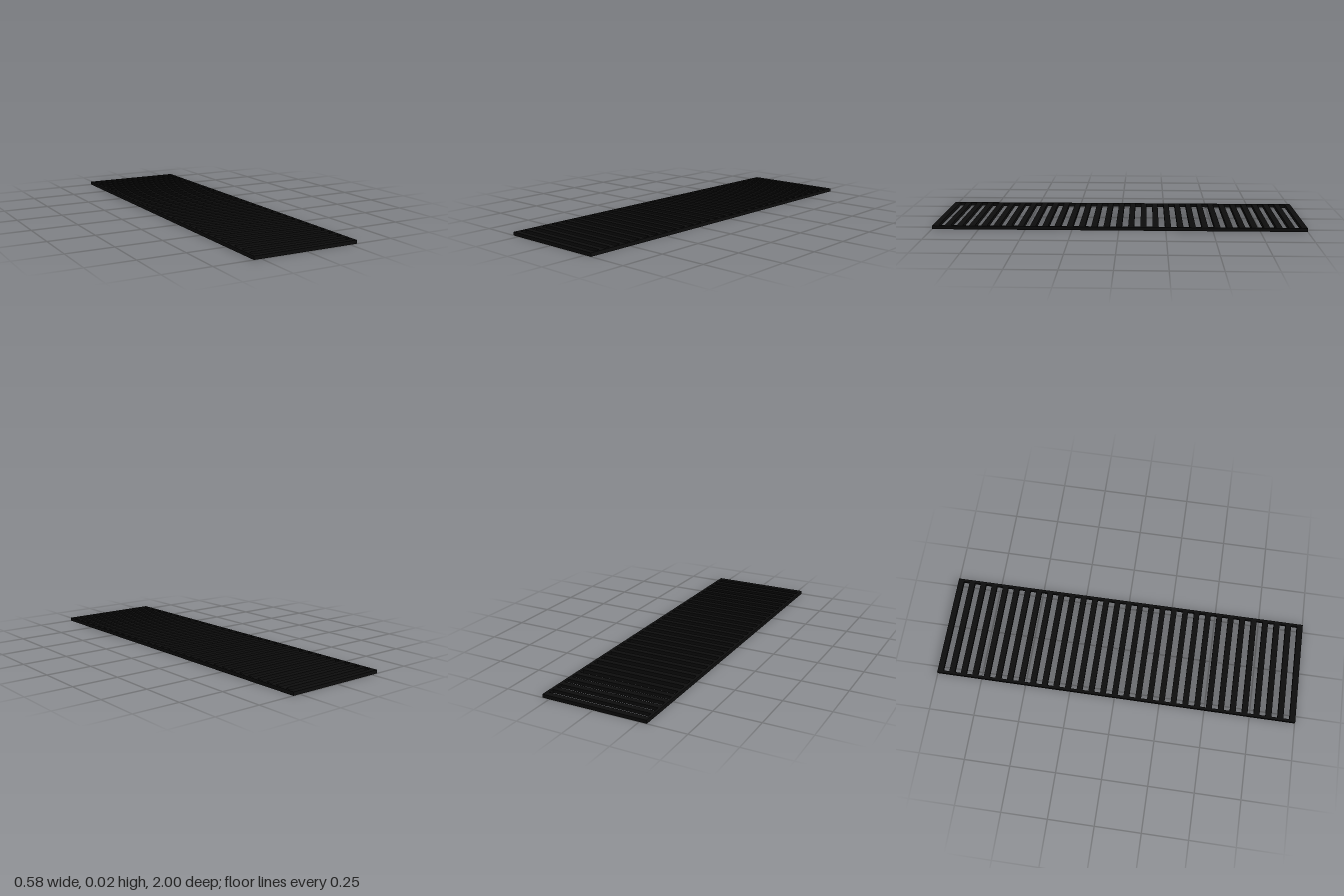
import * as THREE from 'three';

const WIDTH = 0.58, LENGTH = 2, HEIGHT = 0.0185;
const BARS = 31, BAR = 0.032, RAIL = 0.015;

// Counter-clockwise rectangle corners
function rect(x0, y0, x1, y1) {
  return [[x0, y0], [x1, y0], [x1, y1], [x0, y1]].map(([x, y]) => new THREE.Vector2(x, y));
}

export function createModel() {
  const group = new THREE.Group();
  group.name = 'slottedGrate';

  // Flat plate outline with evenly spaced cross slots
  const shape = new THREE.Shape(rect(-WIDTH / 2, -LENGTH / 2, WIDTH / 2, LENGTH / 2));
  const pitch = (LENGTH - BAR) / (BARS - 1);
  const slotX = WIDTH / 2 - RAIL;
  for (let i = 0; i < BARS - 1; i++) {
    const start = -LENGTH / 2 + BAR + i * pitch;
    shape.holes.push(new THREE.Path(rect(-slotX, start, slotX, start + pitch - BAR).reverse()));
  }

  // Thickness, laid flat on the ground
  const geometry = new THREE.ExtrudeGeometry(shape, { depth: HEIGHT, bevelEnabled: false });
  geometry.rotateX(-Math.PI / 2);
  const grate = new THREE.Mesh(geometry, new THREE.MeshStandardMaterial({ color: 0x0d0d0d }));
  grate.name = 'grateBarsAndRails';
  group.add(grate);
  return group;
}
